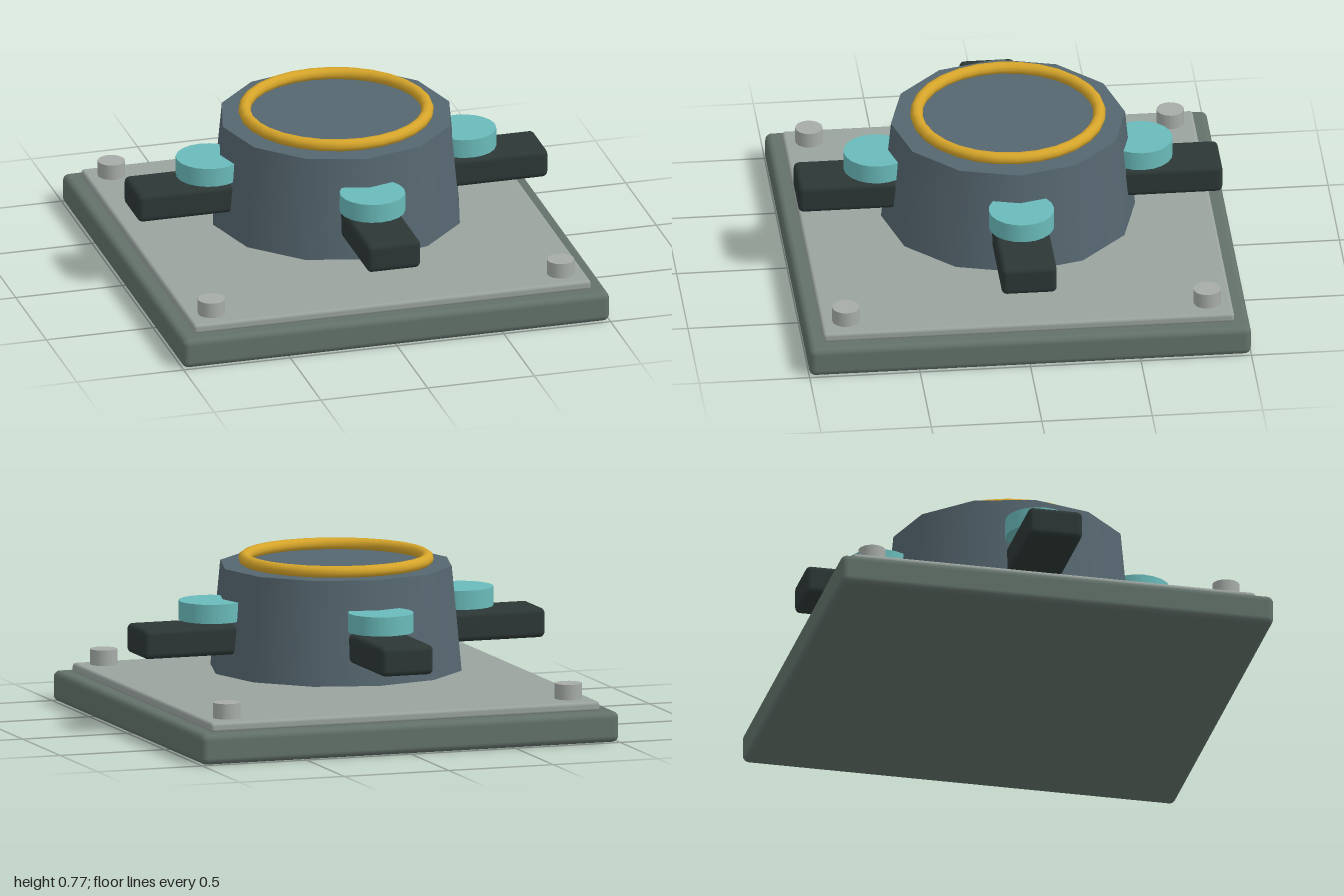
import * as THREE from 'three';
import { RoundedBoxGeometry } from 'three/addons/geometries/RoundedBoxGeometry.js';

const paint = (color) => new THREE.MeshStandardMaterial({ color });

export function createModel() {
  const model = new THREE.Group();
  model.name = 'pedestalDevice';
  const mats = {
    base: paint(0x62716a), plate: paint(0x9aa39e), bolt: paint(0xa6aca8), hub: paint(0x566770),
    arm: paint(0x2c3735), pad: paint(0x6ababa), ring: paint(0xd6a52a),
  };

  const add = (name, geometry, material, x, y, z, parent = model) => {
    const mesh = new THREE.Mesh(geometry, material);
    mesh.name = name;
    mesh.position.set(x, y, z);
    parent.add(mesh);
    return mesh;
  };

  // Square base with a thinner deck plate on top
  add('base', new RoundedBoxGeometry(2, 0.14, 2, 3, 0.03), mats.base, 0, 0.07, 0);
  add('deckPlate', new RoundedBoxGeometry(1.86, 0.045, 1.86, 3, 0.015), mats.plate, 0, 0.1575, 0);

  // Corner bolts
  const boltGeometry = new THREE.CylinderGeometry(0.062, 0.062, 0.07, 16);
  for (const x of [-0.818, 0.818]) {
    for (const z of [-0.818, 0.818]) add('bolt', boltGeometry, mats.bolt, x, 0.219, z);
  }

  // Tapered twelve-sided hub, raised above the deck, with a ring on its top
  add('hub', new THREE.CylinderGeometry(0.53, 0.575, 0.475, 12), mats.hub, 0, 0.485, 0);
  const ring = add('topRing', new THREE.TorusGeometry(0.413, 0.028, 10, 28), mats.ring, 0, 0.746, 0);
  ring.rotation.x = Math.PI / 2;

  // Four arms around the hub, each with a round pad above it
  const armGeometry = new RoundedBoxGeometry(0.56, 0.135, 0.25, 3, 0.025);
  const padGeometry = new THREE.CylinderGeometry(0.148, 0.148, 0.087, 20);
  for (let i = 0; i < 4; i++) {
    const unit = new THREE.Group();
    unit.name = 'armUnit';
    unit.rotation.y = (i * Math.PI) / 2;
    add('arm', armGeometry, mats.arm, 0.68, 0.417, 0, unit);
    add('pad', padGeometry, mats.pad, 0.597, 0.543, 0, unit);
    model.add(unit);
  }

  return model;
}
